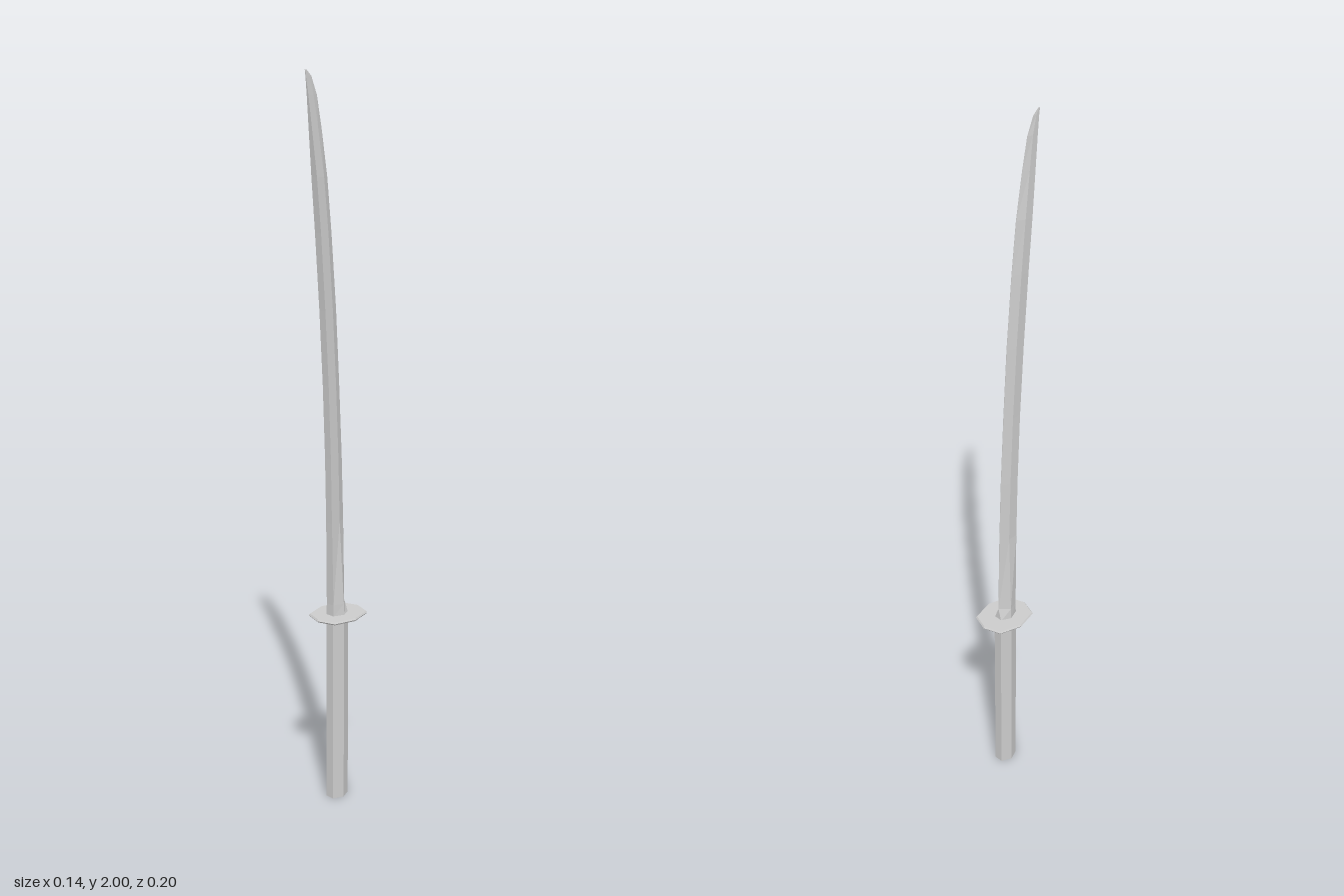
import * as THREE from 'three';

const material = new THREE.MeshStandardMaterial({ color: 0xcccccc, flatShading: true });

// Joins horizontal rings of equal point count (listed bottom to top) into a closed solid.
// Points run from +z through +x to -z and back, so faces point outward.
function loft(rings) {
  const n = rings[0].length;
  const index = [];
  for (let r = 0; r < rings.length - 1; r++) {
    for (let i = 0; i < n; i++) {
      const a = r * n + i, b = r * n + (i + 1) % n;
      index.push(a, b, b + n, a, b + n, a + n);
    }
  }
  const top = (rings.length - 1) * n;
  for (let i = 1; i < n - 1; i++) {
    index.push(0, i + 1, i, top, top + i, top + i + 1);
  }
  const geometry = new THREE.BufferGeometry();
  geometry.setAttribute('position', new THREE.Float32BufferAttribute(rings.flat(2), 3));
  geometry.setIndex(index);
  const flat = geometry.toNonIndexed();
  flat.computeVertexNormals();
  return flat;
}

// Six-sided section: flat spine at +z, ridge on both sides, edge at -z.
function bladeRing([y, spineZ, edgeZ, spineW, ridgeW, edgeW]) {
  const ridgeZ = THREE.MathUtils.lerp(spineZ, edgeZ, 0.53);
  return [
    [-spineW, y, spineZ], [spineW, y, spineZ], [ridgeW, y, ridgeZ],
    [edgeW, y, edgeZ], [-edgeW, y, edgeZ], [-ridgeW, y, ridgeZ],
  ];
}

export function createModel() {
  const group = new THREE.Group();
  const add = (name, geometry) => {
    const mesh = new THREE.Mesh(geometry, material);
    mesh.name = name;
    group.add(mesh);
    return mesh;
  };

  // Grip: hexagonal bar, slightly deeper than wide
  const grip = add('grip', new THREE.CylinderGeometry(0.026, 0.026, 0.55, 6, 1, false, Math.PI / 6));
  grip.scale.z = 1.33;
  grip.position.set(0, 0.275, -0.015);

  // Guard: thin eight-sided plate with a bevelled rim
  const outline = [
    [0, 0.063], [0.05, 0.046], [0.068, -0.018], [0.05, -0.083],
    [0, -0.1], [-0.05, -0.083], [-0.068, -0.018], [-0.05, 0.046],
  ];
  const guardRing = (y, s) => outline.map(([x, z]) => [x * s, y, -0.018 + (z + 0.018) * s]);
  add('guard', loft([guardRing(0.545, 0.96), guardRing(0.549, 1), guardRing(0.553, 0.96)]));

  // Blade: y, spine z, edge z, then half widths of spine, ridge and edge
  add('blade', loft([
    [0.55, 0.014, -0.044, 0.013, 0.026, 0.013],
    [0.585, 0.013, -0.042, 0.013, 0.024, 0.0005],
    [0.82, 0.017, -0.037, 0.011, 0.012, 0.0005],
    [1.0, 0.021, -0.031, 0.011, 0.012, 0.0005],
    [1.2, 0.029, -0.021, 0.011, 0.012, 0.0005],
    [1.4, 0.041, -0.009, 0.011, 0.012, 0.0005],
    [1.6, 0.056, 0.008, 0.011, 0.012, 0.0005],
    [1.74, 0.069, 0.023, 0.01, 0.011, 0.0005],
    [1.86, 0.082, 0.043, 0.006, 0.007, 0.0005],
    [1.94, 0.091, 0.059, 0.003, 0.004, 0.0005],
    [1.985, 0.097, 0.078, 0.001, 0.0015, 0.0004],
    [2.0, 0.1, 0.094, 0.0003, 0.0004, 0.0002],
  ].map(bladeRing)));

  return group;
}
